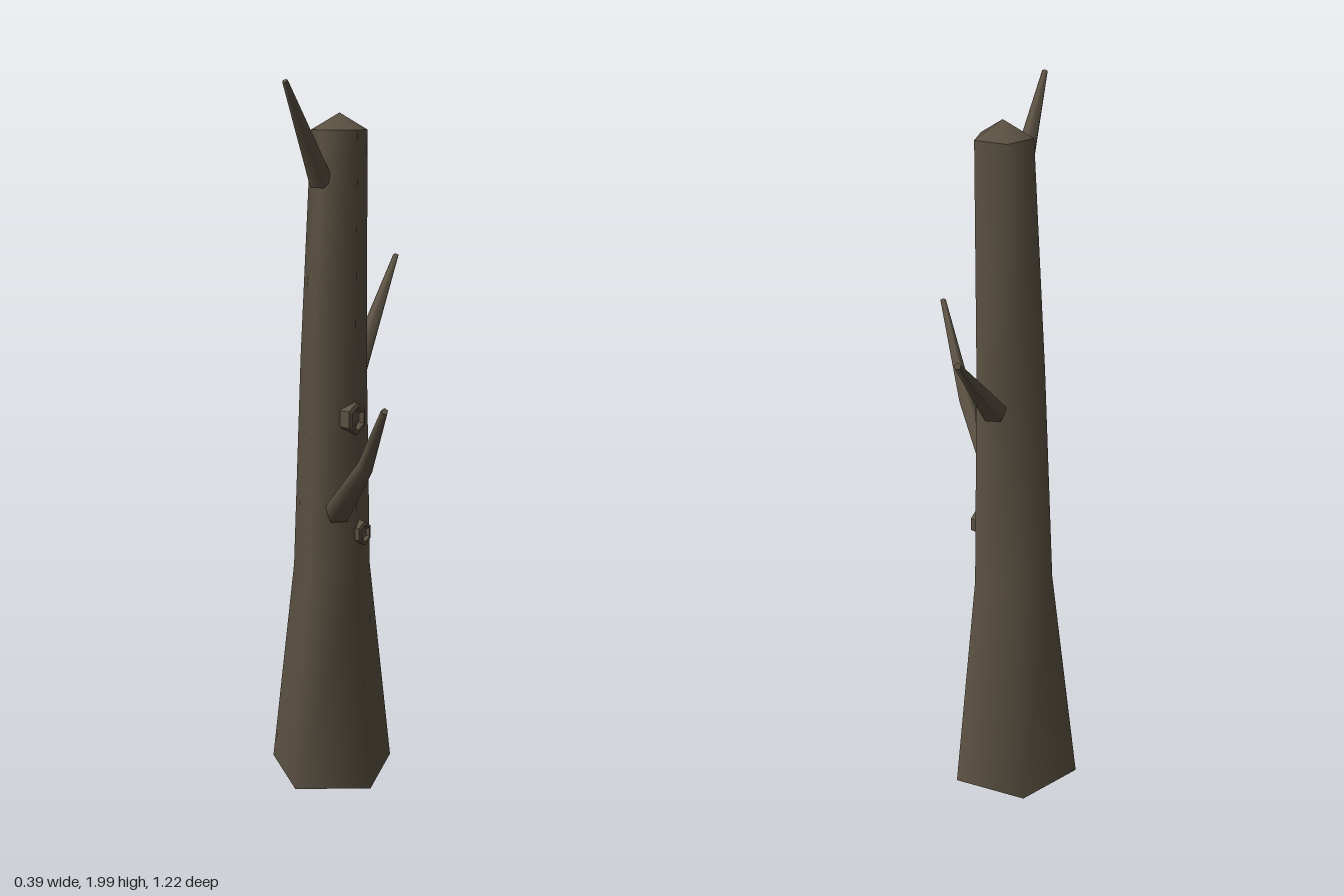
import * as THREE from 'three';

const bark = new THREE.MeshStandardMaterial({ color: 0x5c5243 });
bark.name = 'bark';

// Five-sided smooth loft through rings [x, y, z, radius], each facing along its normal
function loft(rings, normals, ref, sides = 5) {
  const loops = rings.map(([x, y, z, r], i) => {
    const t = normals[i].clone().normalize();
    const u = ref.clone().addScaledVector(t, -ref.dot(t)).normalize();
    const v = t.clone().cross(u);
    return Array.from({ length: sides }, (_, j) => {
      const a = (j / sides) * Math.PI * 2;
      return new THREE.Vector3(x, y, z)
        .addScaledVector(u, r * Math.cos(a))
        .addScaledVector(v, r * Math.sin(a));
    });
  });
  const index = [];
  for (let i = 0; i < rings.length - 1; i++) {
    for (let j = 0; j < sides; j++) {
      const k = (j + 1) % sides;
      const a = i * sides + j, b = i * sides + k;
      index.push(a, b, b + sides, a, b + sides, a + sides);
    }
  }
  const side = new THREE.BufferGeometry().setFromPoints(loops.flat());
  side.setIndex(index);
  side.computeVertexNormals();
  return { side, loops };
}

// Fan from a loop to a centre point; flip for a downward-facing end
function cap(loop, centre, flip) {
  const geo = new THREE.BufferGeometry().setFromPoints([...loop, centre]);
  const n = loop.length, index = [];
  for (let j = 0; j < n; j++) {
    const k = (j + 1) % n;
    index.push(...(flip ? [k, j, n] : [j, k, n]));
  }
  geo.setIndex(index);
  geo.computeVertexNormals();
  return geo;
}

function add(parent, name, geo) {
  const mesh = new THREE.Mesh(geo, bark);
  mesh.name = name;
  parent.add(mesh);
  return mesh;
}

const V = (x, y, z) => new THREE.Vector3(x, y, z);

export function createModel() {
  const model = new THREE.Group();
  model.name = 'deadTree';

  // Flared, slightly leaning trunk with a tilted foot and a blunt tip
  const trunk = new THREE.Group();
  trunk.name = 'trunk';
  const up = V(0, 1, 0);
  const { side, loops } = loft(
    [[-0.02, 0.016, -0.122, 0.185], [-0.02, 0.64, -0.075, 0.115],
      [-0.015, 1.25, -0.048, 0.097], [0, 1.87, -0.03, 0.08]],
    [V(0, 1, 0.085), up, up, up], V(0, 0, -1));
  add(trunk, 'trunkSides', side);
  add(trunk, 'trunkTip', cap(loops[3], V(0, 1.915, -0.028), false));
  add(trunk, 'trunkFoot', cap(loops[0], V(-0.02, 0.016, -0.122), true));
  model.add(trunk);

  // Tapering bare branches, base to tip
  const branches = {
    topBranch: [[-0.05, 1.735, 0.015, 0.034], [-0.142, 1.993, 0.176, 0.008]],
    backBranch: [[0.037, 1.16, -0.122, 0.036], [0.187, 1.483, -0.605, 0.009]],
    frontBranch: [[-0.005, 0.828, 0.012, 0.039], [0.063, 1.02, 0.28, 0.023],
      [0.093, 1.225, 0.605, 0.009]],
  };
  for (const [name, rings] of Object.entries(branches)) {
    const group = new THREE.Group();
    group.name = name;
    const ends = [rings[0], rings.at(-1)].map((r) => V(r[0], r[1], r[2]));
    const dir = ends[1].clone().sub(ends[0]);
    const b = loft(rings, rings.map(() => dir), up);
    add(group, name + 'Sides', b.side);
    add(group, name + 'Base', cap(b.loops[0], ends[0], true));
    add(group, name + 'Tip', cap(b.loops.at(-1), ends[1], false));
    model.add(group);
  }

  // Hollow knots on the front corner of the trunk
  const profile = [[1, -0.6], [1, 0.15], [0.7, 0.25], [0.55, -0.05], [0, -0.05]]
    .map(([r, h]) => new THREE.Vector2(r, h));
  const knotGeo = new THREE.LatheGeometry(profile, 6).toNonIndexed();
  knotGeo.computeVertexNormals();
  knotGeo.rotateX(Math.PI / 2);
  [['upperKnot', 0.042, 1.095, 0.027, 0.046], ['lowerKnot', 0.066, 0.765, 0.01, 0.035]]
    .forEach(([name, x, y, z, r]) => {
      const knot = add(model, name, knotGeo);
      knot.position.set(x, y, z);
      knot.rotation.y = Math.PI / 4;
      knot.scale.set(r * 0.8, r, r);
    });

  return model;
}
